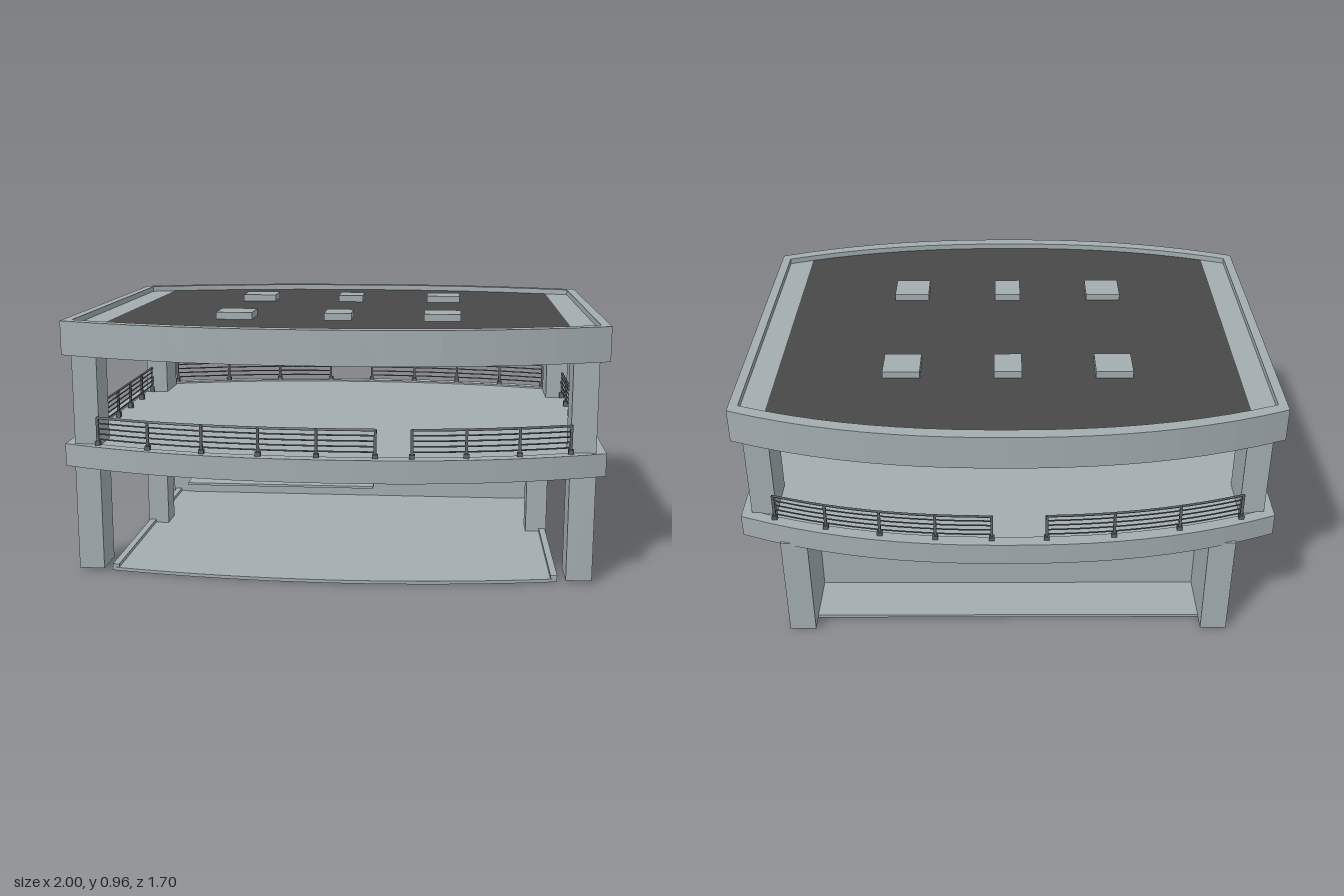
import * as THREE from 'three';

const gray = new THREE.MeshStandardMaterial({ color: 0xa3adb1 });
gray.name = 'concrete gray';
const dark = new THREE.MeshStandardMaterial({ color: 0x484848 });
dark.name = 'charcoal panel';
const metal = new THREE.MeshStandardMaterial({ color: 0x5c6366 });
metal.name = 'railing metal';

// Bowed front and back edge shared by the roof and the deck
const bow = (x, inset = 0) => 0.85 - inset - 0.18 * Math.pow(Math.abs(x), 2.3);

// Closed outline between a front edge z = front(x) and a back edge z = -back(x)
function outline(x0, x1, front, back, steps = 20) {
  const pts = [];
  for (let i = 0; i <= steps; i++) {
    const x = x0 + ((x1 - x0) * i) / steps;
    pts.push(new THREE.Vector2(x, -front(x)));
  }
  for (let i = steps; i >= 0; i--) {
    const x = x0 + ((x1 - x0) * i) / steps;
    pts.push(new THREE.Vector2(x, back(x)));
  }
  return pts;
}

export function createModel() {
  const model = new THREE.Group();
  model.name = 'pavilion';

  const add = (name, geometry, material = gray) => {
    const mesh = new THREE.Mesh(geometry, material);
    mesh.name = name;
    model.add(mesh);
    return mesh;
  };
  const block = (name, x0, x1, y0, y1, z0, z1, material = gray) =>
    add(name, new THREE.BoxGeometry(Math.abs(x1 - x0), y1 - y0, z1 - z0), material)
      .position.set((x0 + x1) / 2, (y0 + y1) / 2, (z0 + z1) / 2);
  const slab = (name, points, y0, y1, material = gray, hole = null) => {
    const shape = new THREE.Shape(points);
    if (hole) shape.holes.push(new THREE.Path(hole));
    const geo = new THREE.ExtrudeGeometry(shape, { depth: y1 - y0, bevelEnabled: false });
    geo.rotateX(-Math.PI / 2).translate(0, y0, 0);
    add(name, geo, material);
  };

  const inner = (x) => bow(x, 0.05);
  const outer = outline(-1, 1, bow0, bow0);
  const opening = outline(-0.965, 0.965, inner, inner);
  function bow0(x) { return bow(x); }

  // Roof: rim, recessed dark panel and light side strips
  slab('roofRim', outer, 0.83, 0.957, gray, opening);
  slab('roofPanel', outline(-0.87, 0.87, inner, inner), 0.845, 0.935, dark);
  for (const s of [-1, 1]) {
    const [a, b] = s > 0 ? [0.87, 0.965] : [-0.965, -0.87];
    slab('roofSideStrip', outline(a, b, inner, inner, 4), 0.845, 0.935);
  }

  // Skylights passing through the roof, and lamps below the deck
  for (const [x, w] of [[-0.4, 0.14], [0, 0.105], [0.4, 0.14]]) {
    for (const z of [-0.33, 0.33])
      block('skylight', x - w / 2, x + w / 2, 0.812, 0.962, z - 0.07, z + 0.07);
    for (const z of [-0.62, 0.33])
      block('deckLamp', x - w / 2, x + w / 2, 0.39, 0.425, z - 0.06, z + 0.06);
  }

  // Upper deck: rim, light floor and dark ceiling beneath
  slab('deckRim', outer, 0.41, 0.495, gray, opening);
  slab('deckFloor', outline(-0.965, 0.965, inner, inner), 0.44, 0.488);
  slab('deckCeiling', outline(-0.965, 0.965, inner, inner), 0.42, 0.44, dark);

  // Ground floor with a bowed front edge
  slab('groundFloor', outline(-0.84, 0.84, (x) => 0.74 - 0.08 * (x / 0.84) ** 2, () => 0.67), 0, 0.012);

  for (const s of [-1, 1]) {
    // Corner pillars
    block('frontLowerPillar', s * 0.87, s * 0.965, 0.01, 0.42, 0.53, 0.67);
    block('frontUpperPillar', s * 0.87, s * 0.963, 0.485, 0.85, 0.53, 0.668);
    block('backUpperPillar', s * 0.87, s * 0.963, 0.485, 0.85, -0.645, -0.455);
    block('backLowerPillar', s * 0.75, s * 0.85, 0.005, 0.42, -0.74, -0.46);

    // Middle pillar with a bracket on each side
    block('middlePillar', s * 0.76, s * 0.845, 0.005, 0.42, -0.05, 0.06);
    for (const d of [-1, 1]) {
      const z0 = 0.005 + d * 0.055;
      const bracket = new THREE.Shape([
        [z0, 0.42], [z0, 0.32], [z0 + d * 0.018, 0.325], [z0 + d * 0.03, 0.385],
        [z0 + d * 0.125, 0.395], [z0 + d * 0.125, 0.42],
      ].map(([z, y]) => new THREE.Vector2(-z, y)));
      const geo = new THREE.ExtrudeGeometry(bracket, { depth: 0.05, bevelEnabled: false });
      geo.rotateY(Math.PI / 2).translate(s * 0.805 - 0.025, 0, 0);
      add('pillarBracket', geo);
    }
    // Low kerb along the floor side
    block('floorKerb', s * 0.815, s * 0.84, 0.01, 0.025, -0.46, 0.66);
  }

  // Back wall
  block('backWall', -0.755, 0.755, 0.01, 0.42, -0.47, -0.453);

  // Bench sweeping out of the wall
  const bench = new THREE.Shape();
  bench.moveTo(0.455, 0.38);
  bench.lineTo(0.449, 0.18);
  bench.quadraticCurveTo(0.435, 0.115, 0.37, 0.113);
  bench.lineTo(0.26, 0.105);
  bench.lineTo(0.26, 0.095);
  bench.lineTo(0.37, 0.098);
  bench.quadraticCurveTo(0.45, 0.105, 0.46, 0.18);
  const benchGeo = new THREE.ExtrudeGeometry(bench, { depth: 0.84, bevelEnabled: false, curveSegments: 8 });
  benchGeo.rotateY(Math.PI / 2).translate(-0.74, 0, 0);
  add('bench', benchGeo);

  // Railings: stacked thin rails with posts along a path
  const railing = (name, path, posts) => {
    const curve = new THREE.CatmullRomCurve3(path);
    for (let i = 0; i < 5; i++) {
      const geo = new THREE.TubeGeometry(curve, 16, i === 4 ? 0.005 : 0.003, 5);
      add(name + 'Rail', geo.translate(0, 0.518 + i * 0.02, 0), metal);
    }
    for (let i = 0; i < posts; i++) {
      const p = curve.getPointAt(i / (posts - 1));
      block(name + 'Post', p.x - 0.005, p.x + 0.005, 0.488, 0.6, p.z - 0.005, p.z + 0.005, metal);
      block(name + 'PostFoot', p.x - 0.01, p.x + 0.01, 0.488, 0.51, p.z - 0.01, p.z + 0.01, metal);
    }
  };
  const bowedPath = (x0, x1, s) => Array.from({ length: 7 }, (_, i) => {
    const x = x0 + ((x1 - x0) * i) / 6;
    return new THREE.Vector3(x, 0, s * bow(x, 0.035));
  });
  railing('frontRailing', bowedPath(-0.87, 0.17, 1), 6);
  railing('frontRailing', bowedPath(0.3, 0.87, 1), 4);
  railing('backRailing', bowedPath(-0.87, -0.14, -1), 4);
  railing('backRailing', bowedPath(0.06, 0.87, -1), 5);
  for (const s of [-1, 1])
    railing('sideRailing', [0.53, 0.04, -0.455].map((z) => new THREE.Vector3(s * 0.94, 0, z)), 6);

  return model;
}
